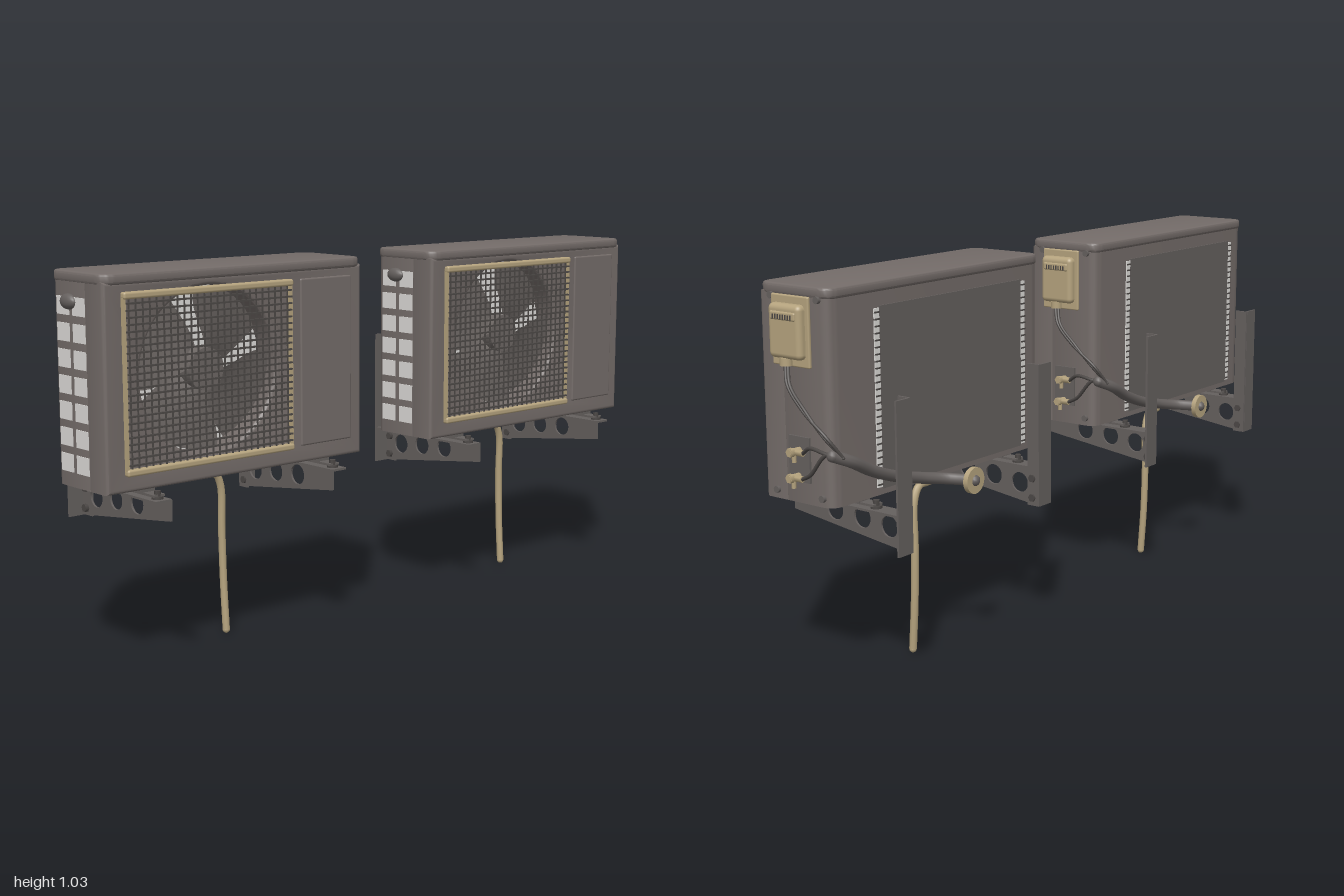
import * as THREE from 'three';
import { RoundedBoxGeometry } from 'three/addons/geometries/RoundedBoxGeometry.js';
import { toCreasedNormals } from 'three/addons/utils/BufferGeometryUtils.js';

const paint = (name, color, double) => {
  const m = new THREE.MeshStandardMaterial({ color });
  m.name = name;
  if (double) m.side = THREE.DoubleSide;
  return m;
};

export function createModel() {
  const casing = paint('casing grey', 0x746c69);
  const steel = paint('bracket grey', 0x65605e);
  const wire = paint('wire dark', 0x4c4846);
  const blade = paint('fan grey', 0x6c6663, true);
  const beige = paint('beige plastic', 0xb5a37e);
  const coil = paint('coil light', 0xdedcd9);

  const add = (parent, name, geo, mat, x = 0, y = 0, z = 0) => {
    const m = new THREE.Mesh(geo, mat);
    m.name = name;
    m.position.set(x, y, z);
    parent.add(m);
    return m;
  };
  const box = (p, name, mat, w, h, d, x, y, z) => add(p, name, new THREE.BoxGeometry(w, h, d), mat, x, y, z);
  const cyl = (p, name, mat, r, h, axis, x, y, z, sides = 16) => {
    const g = new THREE.CylinderGeometry(r, r, h, sides);
    if (axis === 'x') g.rotateZ(Math.PI / 2);
    if (axis === 'z') g.rotateX(Math.PI / 2);
    return add(p, name, g, mat, x, y, z);
  };
  const tube = (p, name, mat, r, pts) => {
    const curve = new THREE.CatmullRomCurve3(pts.map(a => new THREE.Vector3(...a)));
    add(p, name, new THREE.TubeGeometry(curve, 40, r, 10), mat);
    for (const t of [0, 1]) add(p, name + 'End', new THREE.SphereGeometry(r, 10, 8), mat, ...curve.getPoint(t).toArray());
  };
  // Horizontal slab with rounded corners at the back and front
  const slab = (hx, z0, z1, rb, rf, h, bevel) => {
    const s = new THREE.Shape();
    s.moveTo(-hx + rf, -z1);
    s.lineTo(hx - rf, -z1);
    s.quadraticCurveTo(hx, -z1, hx, -z1 + rf);
    s.lineTo(hx, -z0 - rb);
    s.quadraticCurveTo(hx, -z0, hx - rb, -z0);
    s.lineTo(-hx + rb, -z0);
    s.quadraticCurveTo(-hx, -z0, -hx, -z0 - rb);
    s.lineTo(-hx, -z1 + rf);
    s.quadraticCurveTo(-hx, -z1, -hx + rf, -z1);
    const g = new THREE.ExtrudeGeometry(s, { depth: h, bevelEnabled: bevel > 0, bevelSize: bevel, bevelThickness: bevel, bevelSegments: 3, curveSegments: 8 });
    return toCreasedNormals(g.rotateX(-Math.PI / 2), 0.7);
  };

  function addCasing(unit) {
    const g = new THREE.Group();
    g.name = 'casing';
    unit.add(g);
    add(g, 'rearBody', slab(0.419, -0.076, 0.078, 0.035, 0.002, 0.52, 0), casing, 0, 0.487, 0);
    // Front shell with the round fan opening
    const s = new THREE.Shape();
    s.moveTo(-0.409, 0.497);
    s.lineTo(0.409, 0.497);
    s.lineTo(0.409, 1.0);
    s.lineTo(-0.409, 1.0);
    s.closePath();
    const hole = new THREE.Path();
    hole.absarc(-0.1, 0.77, 0.225, 0, Math.PI * 2, true);
    s.holes.push(hole);
    const shell = new THREE.ExtrudeGeometry(s, { depth: 0.065, bevelSize: 0.01, bevelThickness: 0.01, bevelSegments: 3, curveSegments: 40 });
    add(g, 'frontShell', toCreasedNormals(shell, 0.7), casing, 0, 0, 0.077);
    add(g, 'lid', slab(0.414, -0.073, 0.149, 0.03, 0.03, 0.014, 0.007), casing, 0, 1.009, 0);
    add(g, 'frontServicePanel', new RoundedBoxGeometry(0.18, 0.45, 0.012, 2, 0.005), casing, 0.29, 0.758, 0.15);
    add(g, 'coilDisc', new THREE.CircleGeometry(0.22, 48), coil, -0.1, 0.77, 0.0785);
    // Back guard with light gaps along its two sides
    box(g, 'backPanel', steel, 0.57, 0.465, 0.006, -0.045, 0.735, -0.077);
    for (const x of [-0.34, 0.25]) {
      box(g, 'backGap', coil, 0.018, 0.455, 0.006, x, 0.735, -0.0765);
      for (let i = 0; i < 26; i++) box(g, 'backGapBar', wire, 0.018, 0.004, 0.006, x, 0.515 + i * 0.0175, -0.0785);
    }
    // Side vents
    for (let r = 0; r < 7; r++) for (const z of [-0.022, 0.048])
      box(g, 'sideVent', coil, 0.004, 0.046, 0.054, -0.419, 0.548 + r * 0.066, z);
    add(g, 'sideClip', new THREE.SphereGeometry(0.02, 16, 10), steel, -0.42, 0.955, 0.005).scale.set(0.8, 1, 1.6);
    for (const y of [0.51, 1.0]) for (const z of [0.11, -0.045]) cyl(g, 'casingScrew', steel, 0.009, 0.012, 'x', 0.421, y, z);
  }

  function addFan(unit) {
    const g = new THREE.Group();
    g.name = 'fan';
    g.position.set(-0.1, 0.77, 0.11);
    unit.add(g);
    cyl(g, 'fanHub', blade, 0.055, 0.045, 'z', 0, 0, 0.004, 32);
    for (let k = 0; k < 4; k++) {
      const b = new THREE.PlaneGeometry(1, 1, 10, 8), p = b.attributes.position;
      for (let i = 0; i < p.count; i++) {
        const u = p.getX(i) + 0.5, v = p.getY(i) + 0.5;
        const r = 0.05 + 0.16 * u;
        const a = v * (1.5 - 0.18 * u * u) + 0.75 * u * (1 - 0.45 * u) + k * Math.PI / 2;
        p.setXYZ(i, r * Math.cos(a), r * Math.sin(a), 0.04 * (v - 0.5));
      }
      b.computeVertexNormals();
      add(g, 'fanBlade', b, blade);
    }
  }

  function addGrille(unit) {
    const g = new THREE.Group();
    g.name = 'grille';
    unit.add(g);
    const cx = -0.1, cy = 0.757;
    for (const s of [-1, 1]) {
      add(g, 'grilleRail', new RoundedBoxGeometry(0.535, 0.018, 0.02, 2, 0.006), beige, cx, cy + s * 0.219, 0.158);
      box(g, 'grilleStile', beige, 0.008, 0.43, 0.012, cx + s * 0.263, cy, 0.156);
    }
    for (let i = 0; i < 24; i++) box(g, 'grilleBar', wire, 0.52, 0.0045, 0.007, cx, cy - 0.2 + i * 0.4 / 23, 0.165);
    for (let i = 0; i < 25; i++) box(g, 'grilleWire', wire, 0.003, 0.42, 0.004, cx - 0.25 + i * 0.5 / 24, cy, 0.16);
  }

  function addServiceSide(unit) {
    const g = new THREE.Group();
    g.name = 'serviceSide';
    unit.add(g);
    // Electrical cover
    add(g, 'coverPlate', new RoundedBoxGeometry(0.01, 0.175, 0.125, 2, 0.004), beige, 0.423, 0.918, 0.042);
    add(g, 'electricalCover', new RoundedBoxGeometry(0.035, 0.135, 0.108, 4, 0.014), beige, 0.431, 0.918, 0.045);
    add(g, 'coverGrip', new RoundedBoxGeometry(0.012, 0.022, 0.085, 2, 0.005), beige, 0.446, 0.957, 0.045);
    for (let i = 0; i < 8; i++) box(g, 'gripRib', wire, 0.004, 0.012, 0.003, 0.452, 0.955, 0.015 + i * 0.0085);
    cyl(g, 'cableGland', beige, 0.016, 0.02, 'y', 0.434, 0.843, 0.052);
    // Valves
    box(g, 'valvePlate', steel, 0.008, 0.115, 0.07, 0.421, 0.6, 0.028);
    for (const [y, z] of [[0.623, 0.026], [0.557, 0.03]]) {
      cyl(g, 'valveStem', beige, 0.009, 0.045, 'x', 0.44, y, z, 12);
      cyl(g, 'valveCap', beige, 0.012, 0.012, 'x', 0.455, y, z, 6);
      cyl(g, 'valveNut', beige, 0.009, 0.034, 'z', 0.444, y, z - 0.014, 6);
      cyl(g, 'servicePort', beige, 0.006, 0.034, 'y', 0.444, y - 0.01, z, 8);
      tube(g, 'valvePipe', wire, 0.005, [[0.444, y, z - 0.03], [0.455, y + 0.02, -0.04], [0.458, 0.637, -0.1], [0.44, 0.63, -0.135]]);
    }
    for (const o of [0, 0.009]) tube(g, 'cable', wire, 0.0045,
      [[0.434, 0.838, 0.055 - o], [0.45, 0.79, 0.035 - o], [0.465, 0.735, -0.03 - o], [0.468, 0.68, -0.11 + o], [0.44, 0.63, -0.135]]);
    // Wrapped pipe to the wall
    tube(g, 'wallPipe', steel, 0.0155, [[0.455, 0.635, -0.115], [0.41, 0.615, -0.132], [0.33, 0.575, -0.125],
      [0.22, 0.535, -0.112], [0.12, 0.51, -0.113], [0.06, 0.5, -0.14], [0.025, 0.497, -0.2]]);
    cyl(g, 'wallRosette', beige, 0.035, 0.014, 'z', 0.025, 0.497, -0.198, 28);
  }

  function addBracket(unit, side) {
    const g = new THREE.Group();
    g.name = 'wallBracket';
    unit.add(g);
    const x = side * 0.29, web = x - side * 0.022;
    // Tapered arm with round holes
    const s = new THREE.Shape();
    s.moveTo(0.205, 0.41);
    s.lineTo(0.205, 0.465);
    s.lineTo(-0.19, 0.465);
    s.lineTo(-0.19, 0.36);
    s.closePath();
    for (const [z, y] of [[0.06, 0.432], [-0.034, 0.427], [-0.125, 0.418]]) {
      const h = new THREE.Path();
      h.absarc(z, y, 0.028, 0, Math.PI * 2, true);
      s.holes.push(h);
    }
    const arm = new THREE.ExtrudeGeometry(s, { depth: 0.006, bevelEnabled: false, curveSegments: 16 });
    arm.translate(0, 0, -0.003).rotateY(-Math.PI / 2);
    add(g, 'bracketArm', arm, steel, web);
    box(g, 'armFlange', steel, 0.05, 0.006, 0.4, x, 0.464, 0.005);
    box(g, 'postWeb', steel, 0.006, 0.395, 0.038, web - side * 0.005, 0.5575, -0.175);
    box(g, 'postBack', steel, 0.05, 0.395, 0.006, x, 0.5575, -0.192);
    for (const y of [0.437, 0.382]) cyl(g, 'postBolt', wire, 0.011, 0.026, 'x', web, y, -0.172, 6);
    // Mounting foot
    box(g, 'foot', steel, 0.034, 0.006, 0.29, x, 0.476, 0.04);
    box(g, 'footPad', steel, 0.04, 0.014, 0.2, x, 0.483, 0.04);
    for (const z of [0.178, -0.1]) {
      cyl(g, 'footWasher', wire, 0.015, 0.008, 'y', x, 0.47, z);
      cyl(g, 'footBolt', wire, 0.009, 0.022, 'y', x, 0.477, z, 6);
    }
  }

  function addDrain(unit) {
    cyl(unit, 'drainSocket', beige, 0.024, 0.014, 'y', -0.02, 0.482, -0.025, 20);
    tube(unit, 'drainHose', beige, 0.0105, [[-0.02, 0.48, -0.025], [-0.005, 0.463, -0.025], [0.04, 0.458, -0.024],
      [0.062, 0.42, -0.025], [0.068, 0.3, -0.03], [0.07, 0.15, -0.028], [0.07, 0.0105, -0.019]]);
  }

  const model = new THREE.Group();
  model.name = 'outdoorUnits';
  for (const x of [-0.565, 0.545]) {
    const unit = new THREE.Group();
    unit.name = 'outdoorUnit';
    unit.position.x = x;
    model.add(unit);
    addCasing(unit);
    addFan(unit);
    addGrille(unit);
    addServiceSide(unit);
    for (const side of [-1, 1]) addBracket(unit, side);
    addDrain(unit);
  }
  return model;
}
